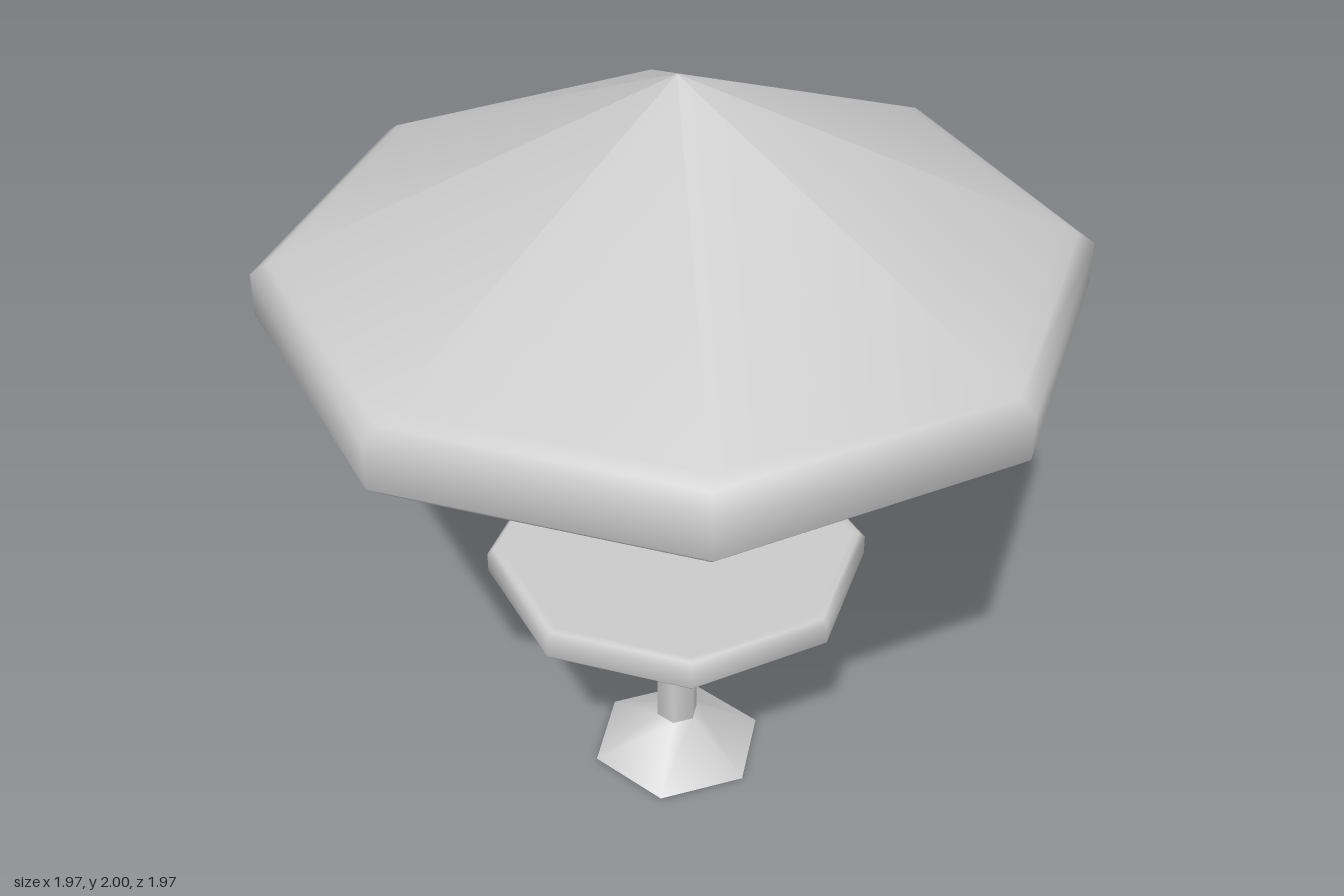
import * as THREE from 'three';

const grey = new THREE.MeshStandardMaterial({ color: 0xcccccc });
const greyDouble = new THREE.MeshStandardMaterial({ color: 0xcccccc, side: THREE.DoubleSide });

export function createModel() {
  const model = new THREE.Group();

  const add = (name, geometry, material = grey) => {
    const mesh = new THREE.Mesh(geometry, material);
    mesh.name = name;
    model.add(mesh);
  };

  // Octagonal solid from a profile running from the underside to the top
  const octagon = (profile) =>
    new THREE.LatheGeometry(profile.map(([r, y]) => new THREE.Vector2(r, y)), 8);

  // Six-sided post with corners on the x axis
  const hexPost = (rTop, rBottom, y0, y1, open = false) =>
    new THREE.CylinderGeometry(rTop, rBottom, y1 - y0, 6, 1, open, Math.PI / 2)
      .translate(0, (y0 + y1) / 2, 0);

  // Parasol: hollow cone with a thick bevelled rim
  add('canopy', octagon([
    [0, 1.815], [0.91, 1.4], [0.945, 1.385], [0.985, 1.42],
    [0.985, 1.53], [0.945, 1.56], [0.91, 1.576], [0, 2],
  ]));

  // Round table with bevelled edge
  add('tableTop', octagon([
    [0, 0.613], [0.45, 0.613], [0.47, 0.613], [0.485, 0.628],
    [0.485, 0.68], [0.47, 0.695], [0.45, 0.695], [0, 0.695],
  ]));

  // Pole, table leg and flared foot
  add('parasolPole', hexPost(0.03, 0.03, 0.65, 1.83));
  add('tableLeg', hexPost(0.056, 0.056, 0.03, 0.64));
  add('foot', hexPost(0.056, 0.231, 0, 0.112, true), greyDouble);

  return model;
}
